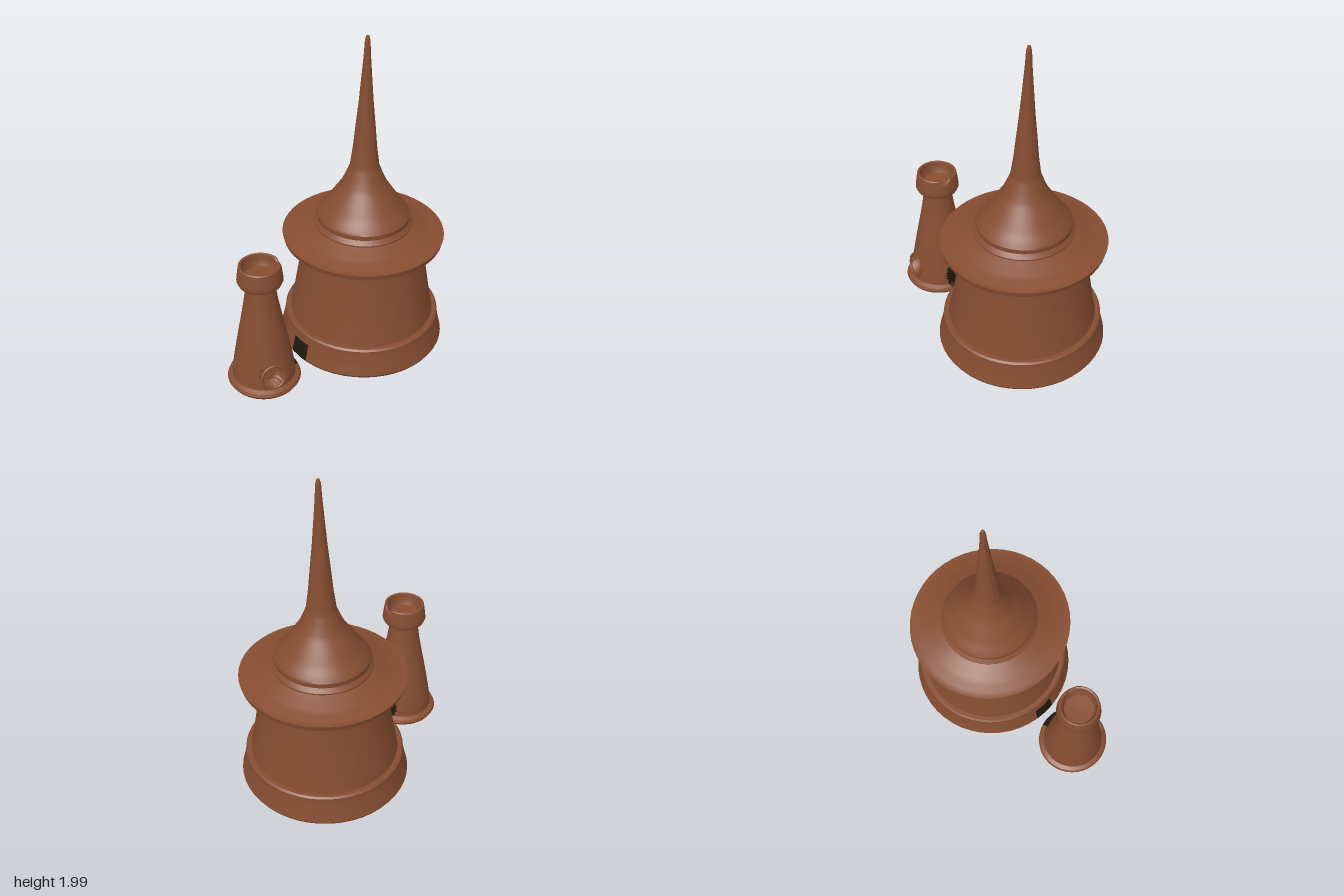
import * as THREE from 'three';
import { toCreasedNormals } from 'three/addons/utils/BufferGeometryUtils.js';

const clay = new THREE.MeshStandardMaterial({ color: 0x864d31 });
clay.name = 'clay brown';
const shade = new THREE.MeshStandardMaterial({ color: 0x1e190a });
shade.name = 'dark brown';

// Lathe with finely divided profile; bend(v) moves vertices, isDark(c) picks the dark faces
function turned(name, profile, segments, bend, isDark) {
  const points = [];
  profile.forEach(([r, y], i) => {
    if (i > 0) {
      const [r0, y0] = profile[i - 1];
      const steps = Math.max(1, Math.round(Math.hypot(r - r0, y - y0) / 0.02));
      for (let s = 1; s < steps; s++) {
        points.push(new THREE.Vector2(r0 + (r - r0) * s / steps, y0 + (y - y0) * s / steps));
      }
    }
    points.push(new THREE.Vector2(r, y));
  });
  const lathe = new THREE.LatheGeometry(points, segments);
  const v = new THREE.Vector3();
  const before = lathe.attributes.position;
  for (let i = 0; i < before.count; i++) {
    bend(v.fromBufferAttribute(before, i));
    before.setXYZ(i, v.x, v.y, v.z);
  }
  const geo = toCreasedNormals(lathe, 0.7);
  const pos = geo.attributes.position;
  const light = [], dark = [], c = new THREE.Vector3();
  for (let i = 0; i < pos.count; i += 3) {
    c.set(0, 0, 0);
    for (let k = 0; k < 3; k++) c.add(v.fromBufferAttribute(pos, i + k));
    (isDark(c.divideScalar(3)) ? dark : light).push(i, i + 1, i + 2);
  }
  geo.setIndex(light.concat(dark));
  geo.addGroup(0, light.length, 0);
  geo.addGroup(light.length, dark.length, 1);
  const mesh = new THREE.Mesh(geo, [clay, shade]);
  mesh.name = name;
  return mesh;
}

export function createModel() {
  const model = new THREE.Group();
  model.name = 'towerAndChimney';

  // Round house: plinth, tapered wall, brim and spire
  const lean = (v) => { v.x += 0.006 * v.y; v.z *= 1.02; };
  const house = new THREE.Group();
  house.name = 'house';
  house.position.x = 0.24;
  house.add(
    turned('plinth', [
      [0, 0.01], [0.49, 0.01], [0.502, 0.03], [0.485, 0.1], [0.472, 0.17],
      [0.472, 0.19], [0.462, 0.2], [0.42, 0.2],
    ], 48, lean, (c) => c.y < 0.012 || (c.x < -0.46 && c.y < 0.14 && Math.abs(c.z) < 0.05)),
    turned('wall', [[0.44, 0.195], [0.415, 0.33], [0.392, 0.47], [0.375, 0.6], [0.362, 0.72]],
      48, lean, () => false),
    turned('brim', [
      [0.34, 0.71], [0.39, 0.695], [0.45, 0.705], [0.475, 0.72], [0.483, 0.752],
      [0.465, 0.752], [0.39, 0.772], [0.325, 0.8], [0.27, 0.825],
    ], 48, lean, () => false),
    turned('spire', [
      [0.288, 0.8], [0.292, 0.825], [0.272, 0.85], [0.275, 0.88], [0.258, 0.905], [0.222, 0.95],
      [0.182, 1.01], [0.135, 1.08], [0.112, 1.13], [0.085, 1.2], [0.069, 1.32], [0.057, 1.45],
      [0.042, 1.6], [0.03, 1.75], [0.02, 1.88], [0.015, 1.97], [0.008, 1.996], [0, 2],
    ], 48, lean, () => false),
  );

  // Small chimney with a round porthole pressed into its front
  const chimney = new THREE.Group();
  chimney.name = 'chimney';
  chimney.position.x = -0.518;
  const hole = { x: -0.05, y: 0.14, r: 0.068 };
  const press = (v) => {
    const d = Math.hypot(v.x - hole.x, v.y - hole.y);
    if (v.z > 0.03 && d < hole.r) v.z -= 0.055 * Math.min(1, (hole.r - d) / 0.015);
    v.z *= 1.03;
  };
  const scorched = (c) => c.y < 0.012
    || (c.x > 0.1 && ((c.y - 0.11) / 0.12) ** 2 + (c.z / 0.085) ** 2 < 1);
  const notch = (v) => {
    if (v.y > 0.81 && v.x > 0.06 && Math.abs(v.z - 0.03) < 0.025) v.y -= 0.018;
  };
  chimney.add(
    turned('chimneyBody', [
      [0, 0.01], [0.205, 0.01], [0.217, 0.03], [0.21, 0.048], [0.186, 0.06], [0.182, 0.11],
      [0.168, 0.2], [0.145, 0.33], [0.122, 0.45], [0.1, 0.57], [0.08, 0.71],
    ], 72, press, scorched),
    turned('chimneyCap', [
      [0.07, 0.7], [0.1, 0.697], [0.124, 0.708], [0.134, 0.73], [0.128, 0.78], [0.121, 0.825],
      [0.115, 0.83], [0.106, 0.826], [0.1, 0.78], [0.088, 0.755], [0, 0.75],
    ], 40, notch, () => false),
  );

  // Raised lip around the porthole
  const lip = new THREE.Mesh(new THREE.TorusGeometry(0.072, 0.009, 8, 32), clay);
  lip.name = 'portholeLip';
  lip.position.set(hole.x, hole.y, 0.171);
  lip.rotation.set(-0.17, -0.28, 0);
  chimney.add(lip);

  model.add(house, chimney);
  return model;
}
